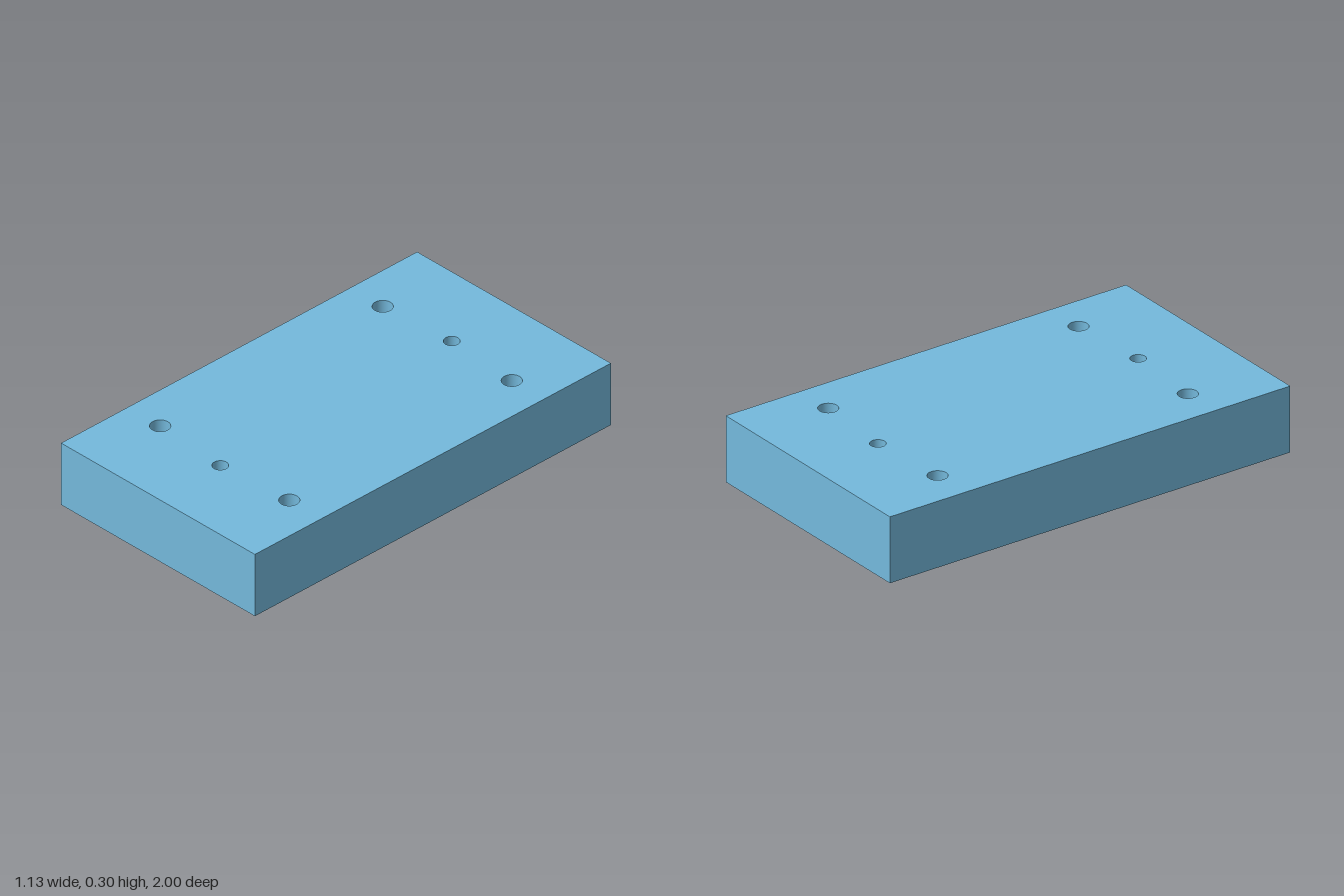
import * as THREE from 'three';

const W = 1.126, H = 0.3, L = 2, SEGMENTS = 32;
const THROUGH_RADIUS = 0.043, PIN_RADIUS = 0.034, PIN_DEPTH = 0.2;

const throughHoles = [];
for (const x of [-0.375, 0.375]) for (const z of [-0.625, 0.625]) throughHoles.push({ x, z, r: THROUGH_RADIUS });
const pinHoles = [-0.65, 0.65].map((z) => ({ x: 0, z, r: PIN_RADIUS }));

// Flat rectangular face pierced by the given holes
function piercedFace(holes) {
  const shape = new THREE.Shape([
    new THREE.Vector2(-W / 2, -L / 2), new THREE.Vector2(W / 2, -L / 2),
    new THREE.Vector2(W / 2, L / 2), new THREE.Vector2(-W / 2, L / 2),
  ]);
  for (const { x, z, r } of holes) shape.holes.push(new THREE.Path().absarc(x, z, r, 0, Math.PI * 2, true));
  return new THREE.ShapeGeometry(shape, SEGMENTS / 2);
}

// Inward-facing bore wall, from the top face down to the floor height
function boreWall(r, floor) {
  return new THREE.LatheGeometry([new THREE.Vector2(r, H), new THREE.Vector2(r, floor)], SEGMENTS);
}

export function createModel() {
  const group = new THREE.Group();
  group.name = 'drilledBlock';
  const material = new THREE.MeshStandardMaterial({ color: 0x74b9dc });

  const add = (name, geometry, x = 0, y = 0, z = 0) => {
    const mesh = new THREE.Mesh(geometry, material);
    mesh.name = name;
    mesh.position.set(x, y, z);
    group.add(mesh);
    return mesh;
  };

  // Top and bottom faces
  add('topFace', piercedFace([...throughHoles, ...pinHoles]).rotateX(-Math.PI / 2), 0, H, 0);
  add('bottomFace', piercedFace(throughHoles).rotateX(Math.PI / 2));

  // Four outer sides
  ['frontSide', 'leftSide', 'backSide', 'rightSide'].forEach((name, i) => {
    const [width, offset] = i % 2 ? [L, W / 2] : [W, L / 2];
    add(name, new THREE.PlaneGeometry(width, H).translate(0, H / 2, offset).rotateY(i * Math.PI / 2));
  });

  // Corner bolt holes run right through
  for (const { x, z, r } of throughHoles) add('boltHole', boreWall(r, 0), x, 0, z);

  // Centre pin holes are blind
  for (const { x, z, r } of pinHoles) {
    add('pinHole', boreWall(r, H - PIN_DEPTH), x, 0, z);
    add('pinHoleFloor', new THREE.CircleGeometry(r, SEGMENTS).rotateX(-Math.PI / 2), x, H - PIN_DEPTH, z);
  }
  return group;
}
